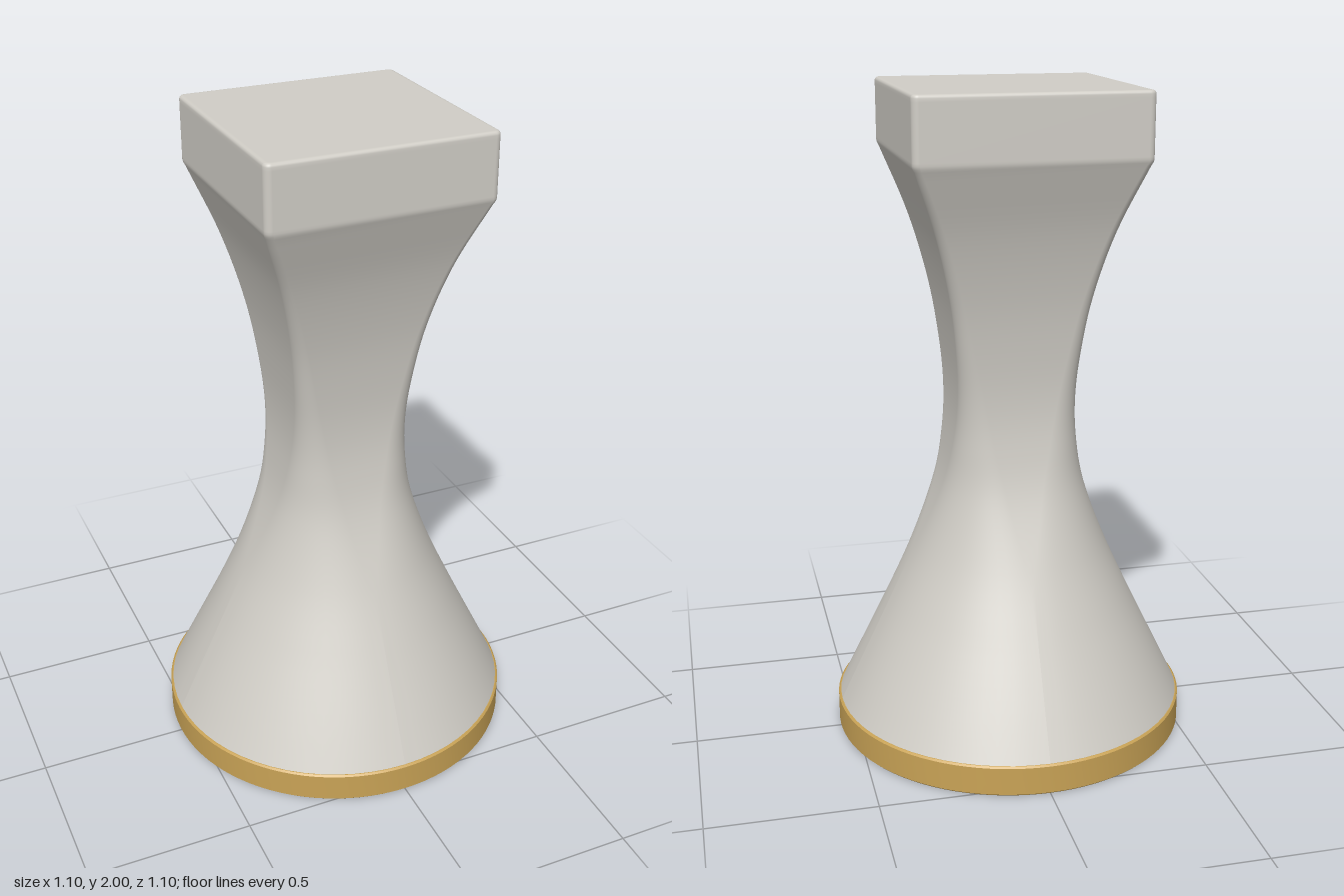
import * as THREE from 'three';
import { toCreasedNormals } from 'three/addons/utils/BufferGeometryUtils.js';

const ARC = 16; // segments per rounded corner

// Point ring of a square with half width h and corner radius r at height y (a circle when r = h)
function roundedSquareRing(y, h, r) {
  const ring = [];
  for (let corner = 0; corner < 4; corner++) {
    const mid = (corner + 0.5) * Math.PI / 2;
    const offset = (h - r) * Math.SQRT2;
    for (let k = 0; k <= ARC; k++) {
      const a = (corner + k / ARC) * Math.PI / 2;
      ring.push([Math.sin(mid) * offset + Math.sin(a) * r, y, Math.cos(mid) * offset + Math.cos(a) * r]);
    }
  }
  return ring;
}

// Skin a stack of rings, with smooth normals, and close the top
function loft(sections) {
  const n = 4 * (ARC + 1);
  const positions = sections.flatMap(([y, h, r]) => roundedSquareRing(y, h, r)).flat();
  const index = [];
  for (let i = 0; i < sections.length - 1; i++) {
    for (let j = 0; j < n; j++) {
      const a = i * n + j, b = i * n + (j + 1) % n;
      index.push(a, b, b + n, a, b + n, a + n);
    }
  }
  const top = (sections.length - 1) * n;
  positions.push(0, sections[sections.length - 1][0], 0);
  for (let j = 0; j < n; j++) index.push(top + n, top + j, top + (j + 1) % n);
  const geometry = new THREE.BufferGeometry();
  geometry.setAttribute('position', new THREE.Float32BufferAttribute(positions, 3));
  geometry.setIndex(index);
  geometry.computeVertexNormals();
  return geometry;
}

export function createModel() {
  const group = new THREE.Group();
  const stone = new THREE.MeshStandardMaterial({ name: 'warm grey', color: 0xd0cdc6 });
  const gold = new THREE.MeshStandardMaterial({ name: 'gold', color: 0xc9a356 });

  // Waisted body: [half width, height, corner radius / half width], round below and square above
  const profile = [
    [0.543, 0.09, 1], [0.49, 0.2, 1], [0.393, 0.4, 1], [0.3, 0.6, 0.95], [0.222, 0.8, 0.76],
    [0.19, 0.95, 0.56], [0.18, 1.08, 0.4], [0.187, 1.22, 0.27], [0.212, 1.4, 0.17],
    [0.262, 1.6, 0.1], [0.334, 1.795, 0.06],
  ].map((p) => new THREE.Vector3(...p));
  const sections = new THREE.CatmullRomCurve3(profile).getPoints(60)
    .map((p) => [p.y, p.x, p.x * Math.min(p.z, 1)]);

  // Square head: softened shoulder, straight sides, rounded top rim
  sections.push([1.803, 0.338, 0.02], [1.812, 0.34, 0.02], [1.82, 0.34, 0.02], [1.98, 0.34, 0.02], [1.99, 0.34, 0.02]);
  for (const a of [30, 60, 90]) {
    const t = a * Math.PI / 180;
    sections.push([1.99 + 0.01 * Math.sin(t), 0.33 + 0.01 * Math.cos(t), 0.01 + 0.01 * Math.cos(t)]);
  }
  sections.push([2, 0.325, 0.01]);
  const body = new THREE.Mesh(loft(sections), stone);
  body.name = 'body';
  group.add(body);

  // Round metal base with a slight bevel
  const rim = [[0, 0], [0.543, 0], [0.548, 0.005], [0.548, 0.09], [0.543, 0.095], [0, 0.095]];
  const baseGeometry = new THREE.LatheGeometry(rim.map((p) => new THREE.Vector2(...p)), 96);
  const base = new THREE.Mesh(toCreasedNormals(baseGeometry, 0.5), gold);
  base.name = 'base';
  group.add(base);

  return group;
}
